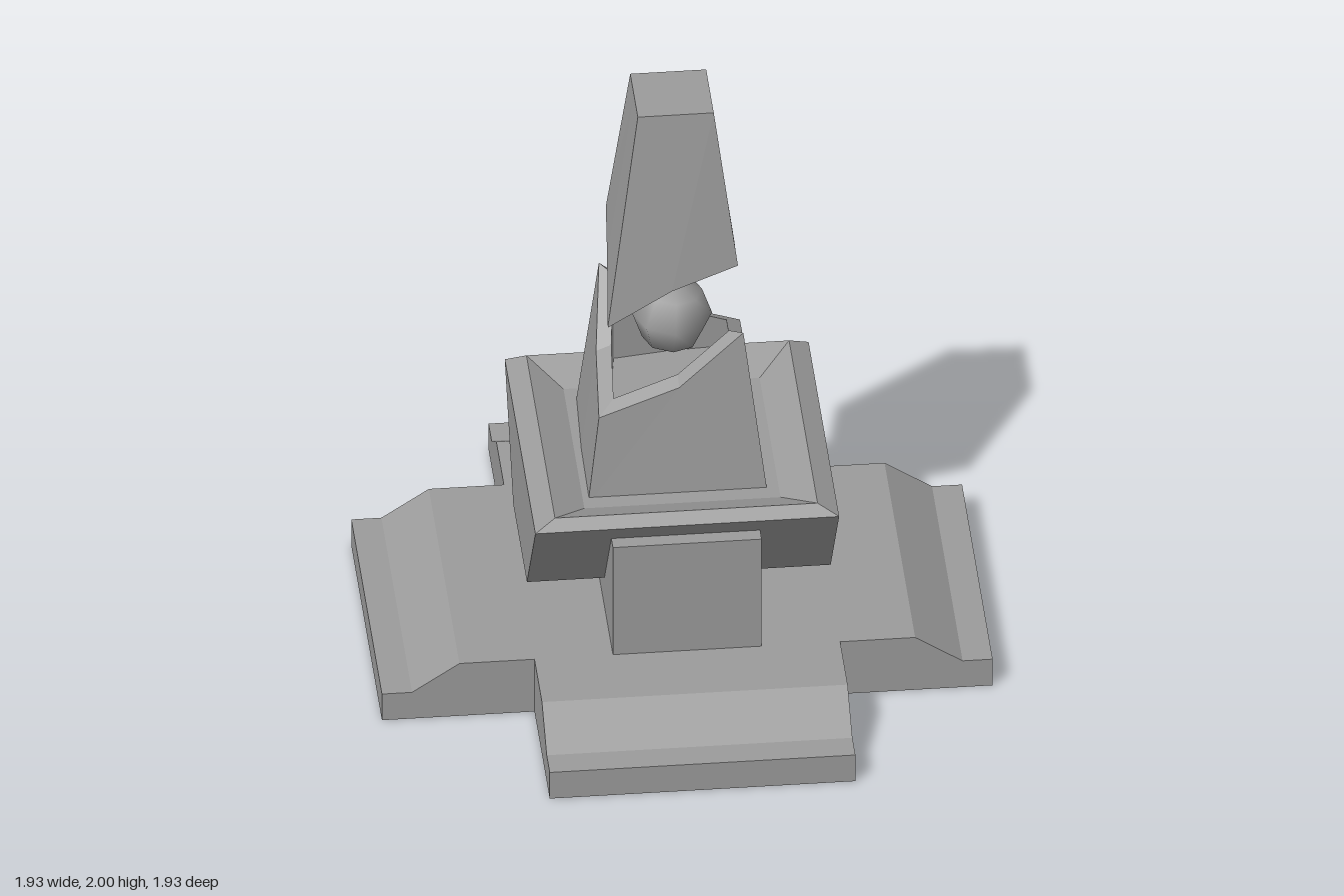
import * as THREE from 'three';

const COLOR = 0x9c9c9c;
const material = new THREE.MeshStandardMaterial({ color: COLOR, flatShading: true, side: THREE.DoubleSide });

function meshFrom(name, positions) {
  const geometry = new THREE.BufferGeometry();
  geometry.setAttribute('position', new THREE.Float32BufferAttribute(positions, 3));
  geometry.computeVertexNormals();
  const mesh = new THREE.Mesh(geometry, material);
  mesh.name = name;
  return mesh;
}

const quad = (out, a, b, c, d) => out.push(...a, ...b, ...c, ...a, ...c, ...d);

// Fan from the ring's centre; up decides which way it faces
function cap(out, ring, up) {
  const centre = [0, 1, 2].map(k => ring.reduce((s, p) => s + p[k], 0) / ring.length);
  ring.forEach((p, i) => {
    const q = ring[(i + 1) % ring.length];
    out.push(...centre, ...(up ? p : q), ...(up ? q : p));
  });
}

// Closed skin over a series of rings, each anticlockwise seen from above
function loft(name, rings) {
  const out = [];
  cap(out, rings[0], false);
  for (let r = 0; r + 1 < rings.length; r++) {
    const lo = rings[r], hi = rings[r + 1], n = lo.length;
    for (let i = 0; i < n; i++) quad(out, lo[i], lo[(i + 1) % n], hi[(i + 1) % n], hi[i]);
  }
  cap(out, rings[rings.length - 1], true);
  return meshFrom(name, out);
}

const rect = (x, y, z) => [[-x, y, z], [x, y, z], [x, y, -z], [-x, y, -z]];

// Eight-point square: corners and edge middles
const square8 = (h, y) => [[-h, y, h], [0, y, h], [h, y, h], [h, y, 0], [h, y, -h], [0, y, -h], [-h, y, -h], [-h, y, 0]];

// Ring drawn in towards the axis, with new heights given by a rule
const inset = (ring, s, height) => ring.map(([x, y, z]) => [x * s, height(y), z * s]);

// Cross-shaped plinth, open underneath
function plinth() {
  const w = 0.483, out = [];
  const profile = [[0.965, 0], [0.965, 0.1], [0.87, 0.1], [0.72, 0.2], [w, 0.2]];
  quad(out, ...rect(w, 0.2, w));
  for (let k = 0; k < 4; k++) {
    const c = Math.round(Math.cos(k * Math.PI / 2)), s = Math.round(Math.sin(k * Math.PI / 2));
    const at = (x, [r, y]) => [x * c + r * s, y, r * c - x * s];
    for (let i = 0; i < 4; i++) {
      const p = profile[i], q = profile[i + 1];
      quad(out, at(-w, p), at(w, p), at(w, q), at(-w, q));
      // Arm sides, split into upright slices
      if (p[0] === q[0]) continue;
      const p0 = [p[0], 0], q0 = [q[0], 0];
      quad(out, at(w, p0), at(w, q0), at(w, q), at(w, p));
      quad(out, at(-w, q0), at(-w, p0), at(-w, p), at(-w, q));
    }
  }
  return meshFrom('plinth', out);
}

export function createModel() {
  const model = new THREE.Group();
  model.add(plinth());

  // Block running front to back beneath the trough
  const block = new THREE.Mesh(new THREE.BoxGeometry(0.47, 0.41, 0.965), material);
  block.position.y = 0.405;
  block.name = 'supportBlock';
  model.add(block);

  // Tapered trough with bevelled rim and sunken top
  model.add(loft('trough', [
    rect(0.48, 0.31, 0.215), rect(0.48, 0.68, 0.483), rect(0.415, 0.713, 0.45), rect(0.31, 0.66, 0.33),
  ]));

  // Broken lower shaft, hollow at the top
  const lowerFoot = [
    [-0.293, 0.635, 0.275], [0, 0.635, 0.275], [0.275, 0.635, 0.275], [0.275, 0.635, 0],
    [0.275, 0.635, -0.295], [0, 0.635, -0.293], [-0.277, 0.635, -0.28], [-0.29, 0.635, 0],
  ];
  const lowerBreak = [
    [-0.255, 0.94, 0.24], [0, 1.03, 0.228], [0.205, 1.21, 0.205], [0.228, 1.03, 0],
    [0.24, 0.94, -0.255], [0, 1.03, -0.24], [-0.21, 1.22, -0.21], [-0.24, 1.03, 0],
  ];
  model.add(loft('lowerShaft', [
    lowerFoot, lowerBreak,
    inset(lowerBreak, 0.8, y => 1.05 + (y - 1.03) * 0.8),
    inset(lowerBreak, 0.8, () => 0.88),
  ]));

  // Floating upper shaft, hollow below
  const upperBreak = [
    [-0.225, 1.27, 0.22], [-0.02, 1.385, 0.205], [0.19, 1.455, 0.185], [0.2, 1.385, 0.02],
    [0.22, 1.26, -0.225], [0.02, 1.385, -0.205], [-0.19, 1.45, -0.19], [-0.205, 1.385, 0],
  ];
  model.add(loft('upperShaft', [
    square8(0.12, 1.62),
    inset(upperBreak, 0.82, y => 1.37 + (y - 1.385) * 0.75),
    upperBreak,
    square8(0.12, 2),
  ]));

  // Coarse, smooth-shaded orb held between the broken halves
  const orb = new THREE.Mesh(
    new THREE.SphereGeometry(0.127, 8, 4),
    new THREE.MeshStandardMaterial({ color: COLOR }),
  );
  orb.position.y = 1.16;
  orb.rotation.z = -0.06;
  orb.name = 'orb';
  model.add(orb);

  return model;
}
